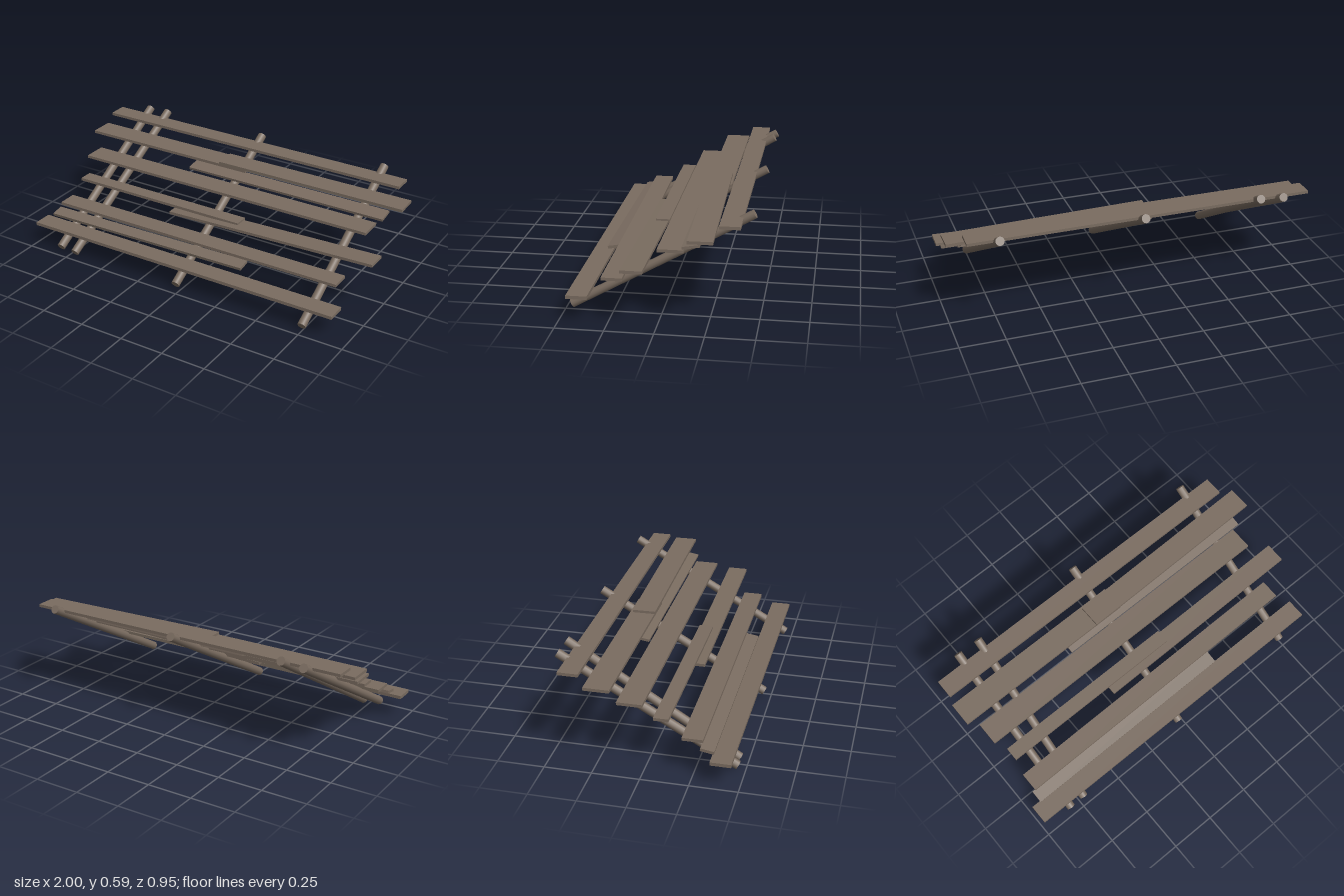
import * as THREE from 'three';

export function createModel() {
  const model = new THREE.Group();
  const wood = new THREE.MeshStandardMaterial({ color: 0x7a6c60 });
  wood.name = 'weatheredWood';

  // Round pole between two points
  function pole(name, bottom, top) {
    const a = new THREE.Vector3(...bottom), b = new THREE.Vector3(...top);
    const dir = b.clone().sub(a);
    const mesh = new THREE.Mesh(new THREE.CylinderGeometry(0.024, 0.024, dir.length(), 12), wood);
    mesh.name = name;
    mesh.position.copy(a).add(b).multiplyScalar(0.5);
    mesh.quaternion.setFromUnitVectors(new THREE.Vector3(0, 1, 0), dir.normalize());
    model.add(mesh);
  }

  // Flat board between the middles of its two ends, rolled about its length
  function plank(name, start, end, width, roll = 0, thickness = 0.016) {
    const a = new THREE.Vector3(...start), b = new THREE.Vector3(...end);
    const dir = b.clone().sub(a);
    const geometry = new THREE.BoxGeometry(dir.length(), thickness, width);
    geometry.rotateX(roll);
    const mesh = new THREE.Mesh(geometry, wood);
    mesh.name = name;
    mesh.position.copy(a).add(b).multiplyScalar(0.5);
    mesh.quaternion.setFromUnitVectors(new THREE.Vector3(1, 0, 0), dir.normalize());
    model.add(mesh);
  }

  // Sloping support poles, one of them knocked askew
  [[-0.81, 'leftEndPole'], [-0.025, 'middlePole'], [0.75, 'rightEndPole']].forEach(([x, name]) =>
    pole(name, [x, 0.036, 0.463], [x, 0.563, -0.466]));
  pole('crookedPole', [-0.717, 0.024, 0.458], [-0.68, 0.57, -0.46]);

  // Boards from the low front edge to the high back edge
  plank('frontPlank', [-0.985, 0.136, 0.405], [0.915, 0.136, 0.405], 0.108, 0, 0.018);
  plank('shortFrontPlank', [-0.935, 0.173, 0.328], [0.325, 0.195, 0.328], 0.072, 0.17);
  plank('secondPlank', [-0.92, 0.217, 0.25], [0.85, 0.217, 0.238], 0.108);
  plank('brokenLeftPlank', [-0.905, 0.302, 0.087], [0.165, 0.302, 0.087], 0.078);
  plank('brokenRightPlank', [-0.255, 0.279, 0.113], [0.99, 0.316, 0.113], 0.112);
  plank('centrePlank', [-0.945, 0.39, -0.062], [0.87, 0.39, -0.062], 0.132);
  plank('tiltedPlank', [-0.31, 0.429, -0.168], [0.905, 0.429, -0.168], 0.088, 0.17, 0.014);
  plank('upperLeftPlank', [-1, 0.482, -0.212], [0.05, 0.482, -0.212], 0.135);
  plank('upperRightPlank', [-0.12, 0.496, -0.203], [0.995, 0.486, -0.225], 0.126);
  plank('backPlank', [-0.985, 0.543, -0.358], [0.91, 0.538, -0.358], 0.106);

  return model;
}
